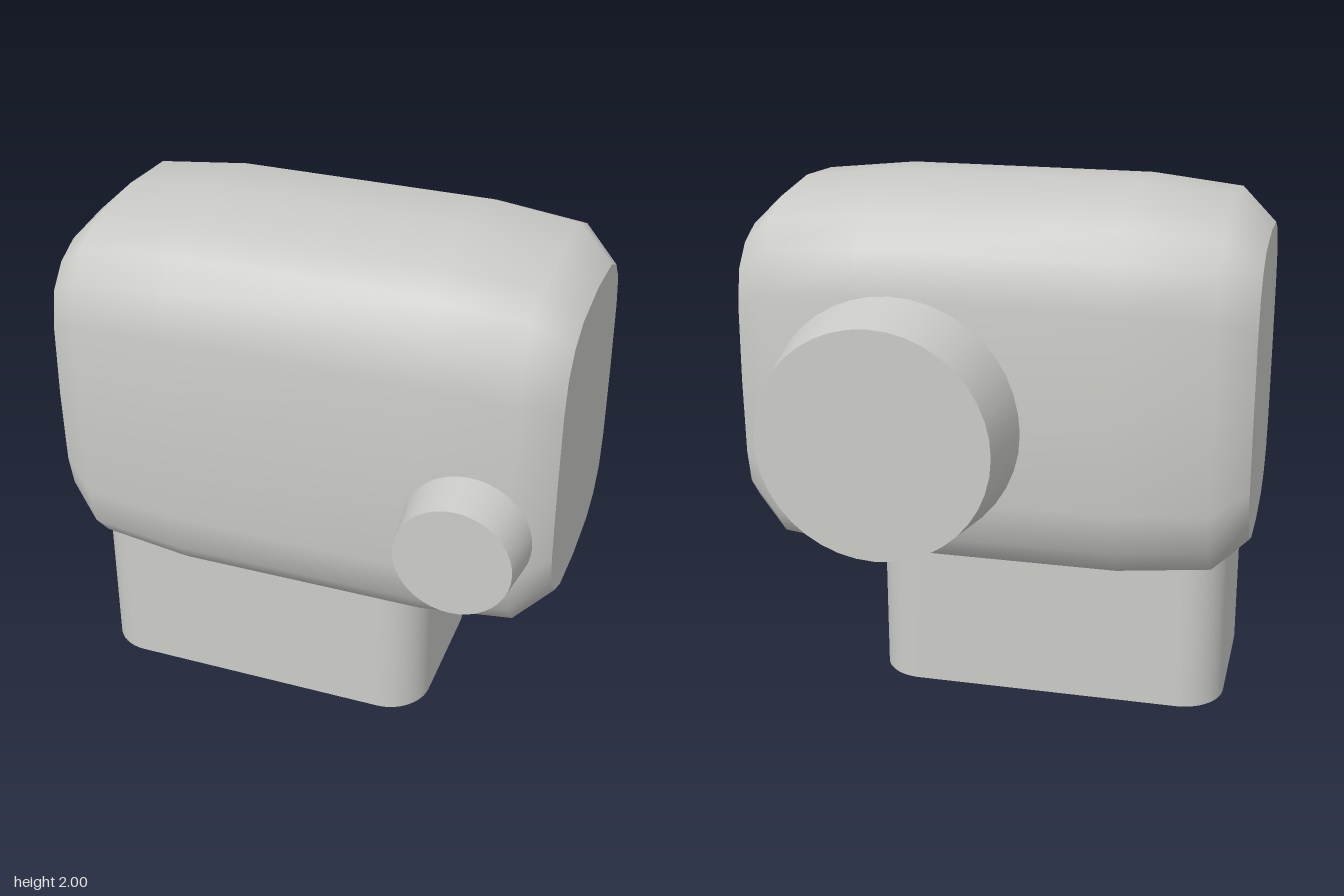
import * as THREE from 'three';

const CY = 1.244, CZ = 0.042; // centre line of the body

// body cross-section as [z, y]: one quarter from top centre to widest point, mirrored to a full ring
const quarter = [[0, 0.756], [0.3, 0.73], [0.436, 0.667], [0.528, 0.557], [0.565, 0.386], [0.575, 0]];
const half = [...quarter, ...quarter.slice(0, -1).reverse().map(([z, y]) => [z, -y])];
const ring = [...half, ...half.slice(1, -1).reverse().map(([z, y]) => [-z, y])];

// stations along x: [x, scale of z, scale of y]
const ends = [[0.984, 0.785, 0.778], [0.847, 0.957, 0.95], [0.49, 1, 1]];
const stations = [...ends.map(([x, a, b]) => [-x, a, b]), ...[...ends].reverse()];

const ringAt = ([x, sz, sy]) => ring.map(([z, y]) => [x, CY + y * sy, CZ + z * sz]);

function makeGeometry(positions, index) {
  const g = new THREE.BufferGeometry();
  g.setAttribute('position', new THREE.Float32BufferAttribute(positions.flat(), 3));
  g.setIndex(index);
  g.computeVertexNormals();
  return g;
}

// smooth shell lofted through the stations
function shell() {
  const idx = [], n = ring.length;
  for (let i = 0; i < stations.length - 1; i++) {
    for (let j = 0; j < n; j++) {
      const a = i * n + j, b = i * n + (j + 1) % n, c = a + n, d = b + n;
      idx.push(a, b, c, b, d, c);
    }
  }
  return makeGeometry(stations.flatMap(ringAt), idx);
}

// flat end face as a fan
function endCap(station, dir) {
  const idx = [], n = ring.length;
  for (let i = 0; i < n; i++) {
    const a = i + 1, b = (i + 1) % n + 1;
    if (dir > 0) idx.push(0, a, b);
    else idx.push(0, b, a);
  }
  return makeGeometry([[station[0], CY, CZ], ...ringAt(station)], idx);
}

// rectangle with rounded corners, centred on the origin
function roundedRect(w, d, r) {
  const s = new THREE.Shape(), x = w / 2 - r, y = d / 2 - r;
  s.absarc(x, y, r, 0, Math.PI / 2);
  s.absarc(-x, y, r, Math.PI / 2, Math.PI);
  s.absarc(-x, -y, r, Math.PI, Math.PI * 1.5);
  s.absarc(x, -y, r, Math.PI * 1.5, Math.PI * 2);
  s.closePath();
  return s;
}

// upright block with smoothly rounded corners
function roundedColumn(w, d, r, height) {
  const g = new THREE.ExtrudeGeometry(roundedRect(w, d, r), {
    depth: height, bevelEnabled: false, curveSegments: 8,
  });
  g.rotateX(-Math.PI / 2);
  const p = g.attributes.position, nor = g.attributes.normal;
  for (let i = 0; i < p.count; i++) {
    if (Math.abs(nor.getY(i)) > 0.5) continue;
    const dx = p.getX(i) - Math.sign(p.getX(i)) * (w / 2 - r);
    const dz = p.getZ(i) - Math.sign(p.getZ(i)) * (d / 2 - r);
    nor.setXYZ(i, dx / r, 0, dz / r);
  }
  return g;
}

export function createModel() {
  const group = new THREE.Group();
  const grey = new THREE.MeshStandardMaterial({ color: 0xcbcbc8 });
  grey.name = 'light grey';

  const add = (name, geometry) => {
    const m = new THREE.Mesh(geometry, grey);
    m.name = name;
    group.add(m);
    return m;
  };

  // rounded body
  add('bodyShell', shell());
  add('leftEndFace', endCap(stations[stations.length - 1], 1));
  add('rightEndFace', endCap(stations[0], -1));

  // standing column, reaching up into the body
  add('column', roundedColumn(1.386, 0.81, 0.17, 0.8)).position.set(-0.212, 0, 0.045);

  // tapered round knobs, front and back
  const knob = (name, rTip, rBase, x, y, zBase, zTip) => {
    const g = new THREE.CylinderGeometry(rTip, rBase, Math.abs(zTip - zBase), 40);
    g.rotateX(Math.sign(zTip) * Math.PI / 2);
    add(name, g).position.set(x, y, (zBase + zTip) / 2);
  };
  knob('frontKnob', 0.218, 0.242, 0.692, 1.07, 0.612, 0.8);
  knob('backKnob', 0.445, 0.49, 0.345, 1.158, -0.528, -0.8);

  return group;
}
